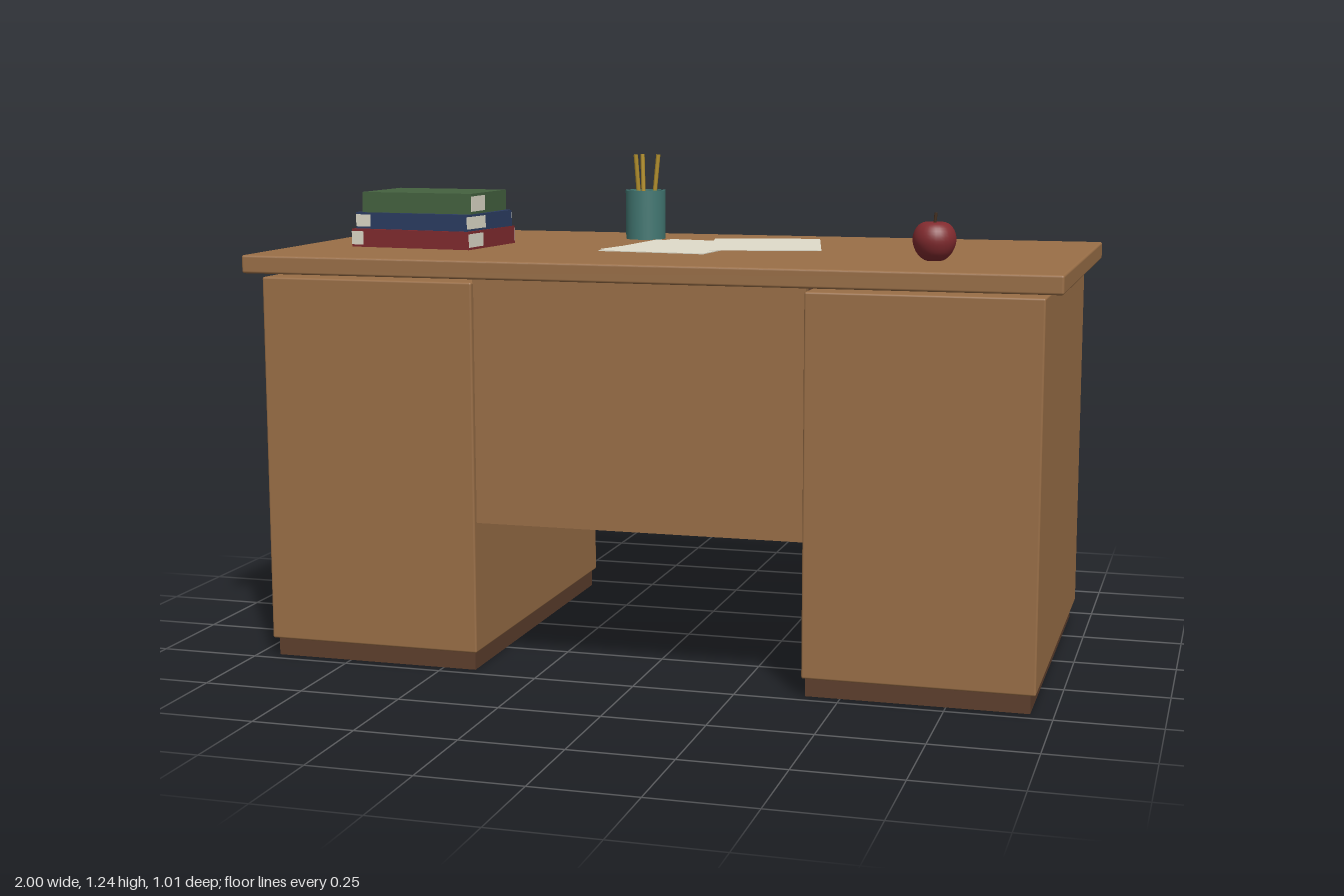
import * as THREE from 'three';
import { RoundedBoxGeometry } from 'three/addons/geometries/RoundedBoxGeometry.js';

const paint = (name, color) => {
  const m = new THREE.MeshStandardMaterial({ color });
  m.name = name;
  return m;
};
const wood = paint('wood', 0x9a6f47);
const darkWood = paint('dark wood', 0x5e3f2d);
const metal = paint('handle metal', 0xb4b6b4);
const paper = paint('paper', 0xe0dccb);
const red = paint('red', 0x822b2f);
const blue = paint('blue', 0x2c3d63);
const green = paint('green', 0x456240);
const teal = paint('teal', 0x437873);
const yellow = paint('pencil yellow', 0xb8942f);
const stemBrown = paint('stem brown', 0x46301f);
teal.side = THREE.DoubleSide;

const TOP = 1.015; // height of the desk surface

function add(parent, name, geometry, material, x = 0, y = 0, z = 0) {
  const mesh = new THREE.Mesh(geometry, material);
  mesh.name = name;
  mesh.position.set(x, y, z);
  parent.add(mesh);
  return mesh;
}

// Box given by its limits; a radius softens the edges
function block(parent, name, material, [x0, x1], [y0, y1], [z0, z1], r = 0) {
  const s = [x1 - x0, y1 - y0, z1 - z0];
  const geo = r ? new RoundedBoxGeometry(...s, 2, r) : new THREE.BoxGeometry(...s);
  return add(parent, name, geo, material, (x0 + x1) / 2, (y0 + y1) / 2, (z0 + z1) / 2);
}

// Drawer front on the back face, with a bar handle on two posts
function drawer(parent, name, x, width, y0, y1, handleY) {
  const g = new THREE.Group();
  g.name = name;
  parent.add(g);
  block(g, 'drawerFront', darkWood, [x - width / 2, x + width / 2], [y0, y1], [-0.483, -0.46], 0.007);
  const bar = add(g, 'handleBar', new THREE.CapsuleGeometry(0.007, 0.13, 4, 10), metal, x, handleY, -0.498);
  bar.rotation.z = Math.PI / 2;
  for (const s of [-1, 1]) {
    const post = add(g, 'handlePost', new THREE.CylinderGeometry(0.004, 0.004, 0.02, 8), metal, x + s * 0.05, handleY, -0.488);
    post.rotation.x = Math.PI / 2;
  }
}

// Book: solid cover with page edges showing at opposite corners
function book(parent, name, material, [x, z], [w, h, d], y, turn, endPart, sidePart) {
  const g = new THREE.Group();
  g.name = name;
  g.position.set(x, y + h / 2, z);
  g.rotation.y = turn;
  parent.add(g);
  add(g, 'cover', new THREE.BoxGeometry(w, h, d), material);
  const ph = h * 0.74;
  for (const s of [-1, 1]) {
    const len = d * endPart;
    add(g, 'pageEnd', new THREE.BoxGeometry(0.002, ph, len), paper, s * w / 2, 0, s * (d - len) / 2);
    if (sidePart) {
      const wide = w * sidePart;
      add(g, 'pageSide', new THREE.BoxGeometry(wide, ph, 0.002), paper, -s * (w - wide) / 2, 0, s * d / 2);
    }
  }
}

export function createModel() {
  const desk = new THREE.Group();
  desk.name = 'desk';

  // Table top, pedestals, plinths and modesty panel
  block(desk, 'tableTop', wood, [-1, 1], [0.97, TOP], [-0.495, 0.505], 0.006);
  for (const s of [-1, 1]) {
    const span = (a, b) => (s > 0 ? [a, b] : [-b, -a]);
    block(desk, 'pedestal', wood, span(0.408, 0.958), [0.045, 0.96], [-0.465, 0.48], 0.005);
    block(desk, 'plinth', darkWood, span(0.416, 0.945), [0, 0.046], [-0.45, 0.468]);
  }
  block(desk, 'modestyPanel', wood, [-0.41, 0.41], [0.37, 0.971], [0.443, 0.465]);

  // Drawers: three on the left, two on the right, one shallow in the middle
  for (let i = 0; i < 3; i++) {
    const y = 0.095 + i * 0.275;
    drawer(desk, 'leftDrawer', 0.683, 0.5, y, y + 0.25, y + 0.155);
  }
  drawer(desk, 'rightTopDrawer', -0.683, 0.5, 0.69, 0.9, 0.8);
  drawer(desk, 'rightFileDrawer', -0.683, 0.5, 0.095, 0.63, 0.44);
  drawer(desk, 'pencilDrawer', 0, 0.76, 0.86, 0.945, 0.905);

  // Stack of books
  book(desk, 'redBook', red, [-0.67, 0.07], [0.337, 0.046, 0.262], TOP, -0.1, 0.3, 0.1);
  book(desk, 'blueBook', blue, [-0.667, 0.072], [0.325, 0.042, 0.24], TOP + 0.046, -0.13, 0.4, 0.13);
  book(desk, 'greenBook', green, [-0.667, 0.068], [0.305, 0.052, 0.222], TOP + 0.088, -0.05, 0.38, 0);

  // Loose sheets
  [[-0.025, -0.045, -0.22], [-0.027, 0, -0.1], [0.178, -0.105, 0.22]].forEach(([x, z, turn], i) => {
    const sheet = add(desk, 'paperSheet', new THREE.BoxGeometry(0.28, 0.002, 0.38), paper, x, TOP + 0.001 + i * 0.002, z);
    sheet.rotation.y = turn;
  });

  // Pencil cup
  const cup = new THREE.Group();
  cup.name = 'pencilCup';
  cup.position.set(-0.202, TOP, -0.287);
  desk.add(cup);
  const wall = [[0, 0], [0.053, 0], [0.054, 0.131], [0.047, 0.131], [0.047, 0.008], [0, 0.008]];
  add(cup, 'cup', new THREE.LatheGeometry(wall.flatMap(([r, y], i) => {
    const p = new THREE.Vector2(r, y);
    return i % 5 ? [p, p.clone()] : [p];
  }), 28), teal);
  for (let i = 0; i < 3; i++) {
    const holder = new THREE.Group();
    holder.name = 'pencil';
    holder.rotation.y = i * Math.PI * 2 / 3;
    cup.add(holder);
    const shaft = add(holder, 'pencilShaft', new THREE.CylinderGeometry(0.006, 0.006, 0.218, 6), yellow, 0.025, 0.118, 0);
    shaft.rotation.z = -0.1;
  }

  // Apple with a stem
  const apple = new THREE.Group();
  apple.name = 'apple';
  apple.position.set(0.663, TOP, 0.205);
  desk.add(apple);
  const outline = [[0, 0.005], [0.016, 0], [0.03, 0.006], [0.044, 0.022], [0.052, 0.046],
    [0.049, 0.068], [0.038, 0.085], [0.023, 0.092], [0.01, 0.089], [0, 0.082]];
  const curve = new THREE.SplineCurve(outline.map(([r, y]) => new THREE.Vector2(r, y)));
  const points = curve.getPoints(24).map((p) => p.setX(Math.max(0, p.x)));
  add(apple, 'appleBody', new THREE.LatheGeometry(points, 28), red);
  const stem = add(apple, 'appleStem', new THREE.CylinderGeometry(0.004, 0.003, 0.036, 8), stemBrown, 0.001, 0.096, 0);
  stem.rotation.z = -0.1;

  return desk;
}
